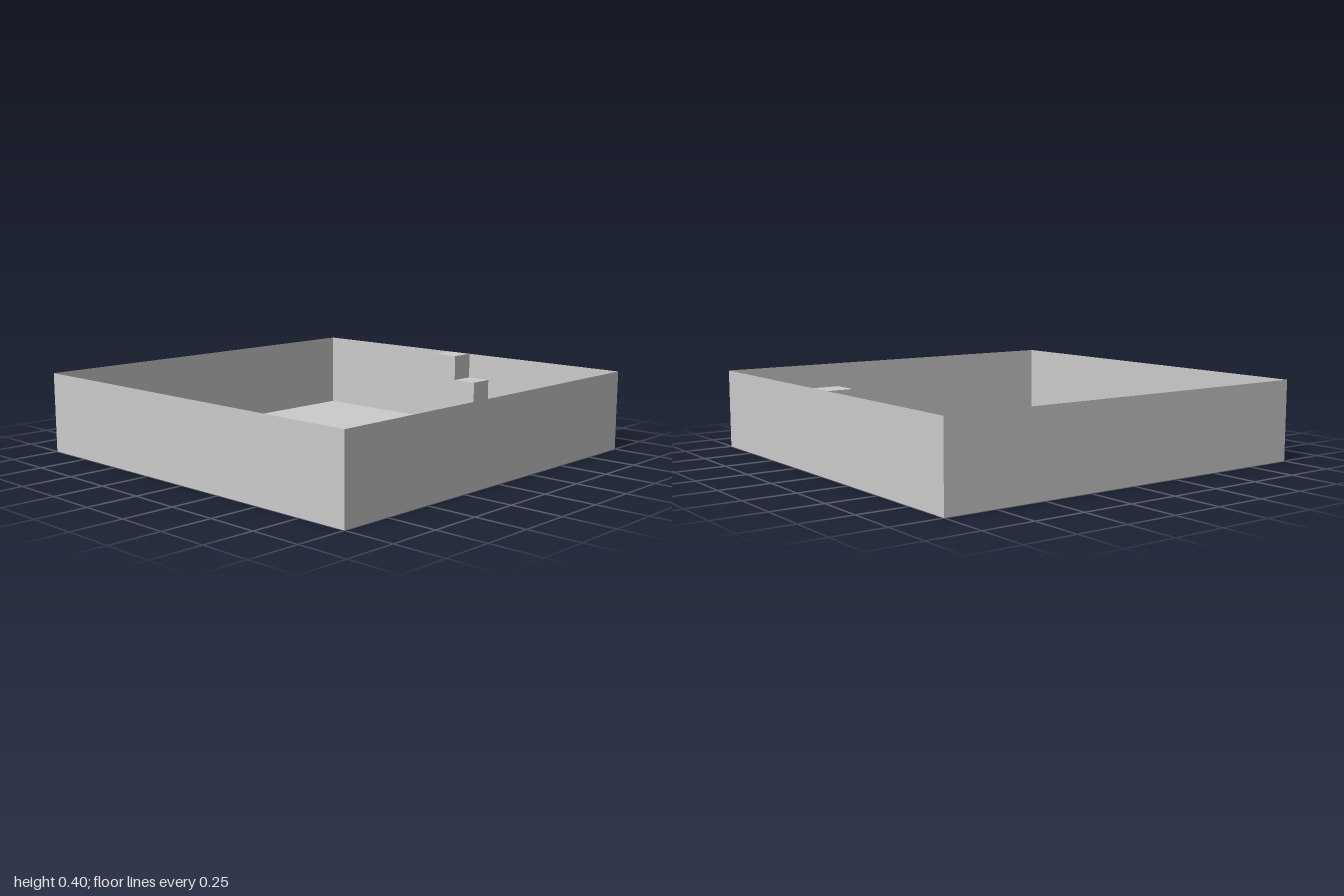
import * as THREE from 'three';

export function createModel() {
  const model = new THREE.Group();
  model.name = 'trayWithSteps';

  const grey = new THREE.MeshStandardMaterial({ color: 0xcccccc, side: THREE.DoubleSide });
  grey.name = 'plain grey';

  const size = 2, height = 0.4;

  // Floor: a single thin sheet
  const floor = new THREE.Mesh(new THREE.PlaneGeometry(size, size), grey);
  floor.name = 'floor';
  floor.rotation.x = -Math.PI / 2;
  model.add(floor);

  // Four thin walls, each facing outward
  ['frontWall', 'leftWall', 'backWall', 'rightWall'].forEach((name, i) => {
    const geometry = new THREE.PlaneGeometry(size, height);
    geometry.translate(0, height / 2, size / 2);
    const wall = new THREE.Mesh(geometry, grey);
    wall.name = name;
    wall.rotation.y = (i * Math.PI) / 2;
    model.add(wall);
  });

  // Three steps against the back wall, going down towards +x
  const count = 3, run = 0.4 / 3, rise = height / 3, depth = 0.13;
  const profile = new THREE.Shape();
  profile.moveTo(0, 0);
  profile.lineTo(count * run, 0);
  for (let i = count; i > 0; i--) {
    const top = (count - i + 1) * rise;
    profile.lineTo(i * run, top);
    profile.lineTo((i - 1) * run, top);
  }
  profile.closePath();
  const steps = new THREE.Mesh(
    new THREE.ExtrudeGeometry(profile, { depth, bevelEnabled: false }), grey);
  steps.name = 'steps';
  steps.position.set(-0.07, 0, -size / 2);
  model.add(steps);

  return model;
}
